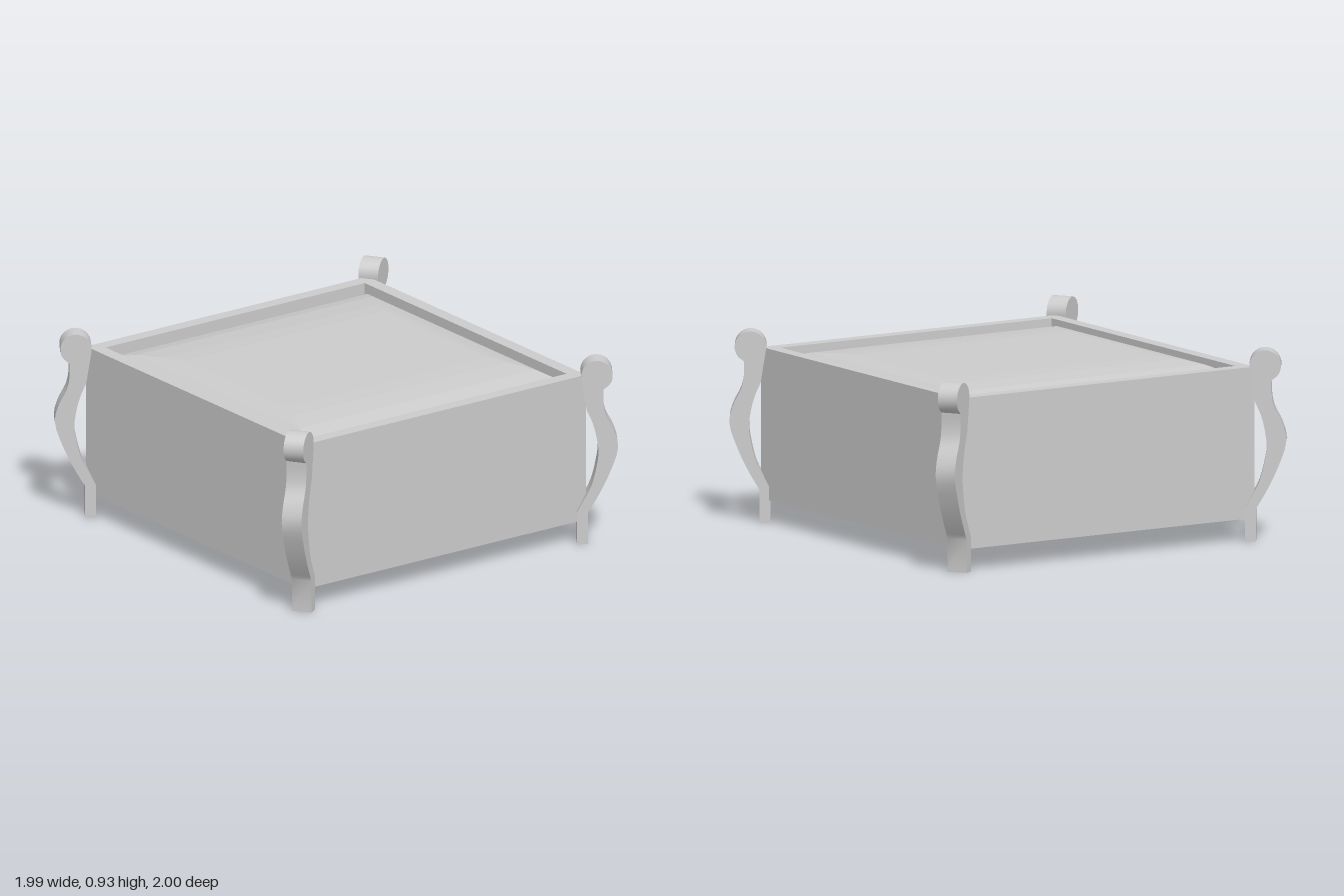
import * as THREE from 'three';
import { toCreasedNormals } from 'three/addons/utils/BufferGeometryUtils.js';

const material = new THREE.MeshStandardMaterial({ color: 0xcccccc });

function part(name, geometry) {
  const mesh = new THREE.Mesh(geometry, material);
  mesh.name = name;
  return mesh;
}

// Side profile of a leg: x runs outward from the foot, y runs up
function legGeometry() {
  const outer = [[0.027, 0.16], [0.08, 0.25], [0.13, 0.355], [0.172, 0.48], [0.155, 0.57], [0.115, 0.65], [0.102, 0.72], [0.103, 0.785]];
  const inner = [[0.022, 0.68], [0.057, 0.595], [0.078, 0.48], [0.07, 0.4], [0.046, 0.3], [0.012, 0.23], [-0.025, 0.165]];
  const curve = (list, n) => new THREE.SplineCurve(list.map(([x, y]) => new THREE.Vector2(x, y))).getPoints(n);
  const points = [new THREE.Vector2(-0.025, 0), new THREE.Vector2(0.027, 0), ...curve(outer, 18)];
  // Rounded scroll at the top
  for (let i = 0; i <= 14; i++) {
    const a = THREE.MathUtils.lerp(-0.75, Math.PI + 0.25, i / 14);
    points.push(new THREE.Vector2(0.071 + 0.076 * Math.cos(a), 0.854 + 0.076 * Math.sin(a)));
  }
  points.push(...curve(inner, 16));
  const geometry = new THREE.ExtrudeGeometry(new THREE.Shape(points), { depth: 0.1, bevelEnabled: false });
  geometry.translate(0, 0, -0.05);
  return toCreasedNormals(geometry, 0.6);
}

// Frame with a rectangular opening
function rimGeometry() {
  const rectangle = (x, z) => [[-x, -z], [x, -z], [x, z], [-x, z]].map(([a, b]) => new THREE.Vector2(a, b));
  const shape = new THREE.Shape(rectangle(0.877, 0.84));
  shape.holes.push(new THREE.Path(rectangle(0.81, 0.773)));
  return new THREE.ExtrudeGeometry(shape, { depth: 0.065, bevelEnabled: false }).rotateX(-Math.PI / 2);
}

// Domed filling made of shrinking rectangular rings: half width, height, half depth
function fillingGeometry() {
  const rings = [[0.81, 0.788, 0.773], [0.745, 0.815, 0.742], [0.655, 0.836, 0.702], [0.52, 0.848, 0.643], [0.415, 0.853, 0.6]];
  const corners = [[-1, 1], [1, 1], [1, -1], [-1, -1]];
  const positions = [];
  const point = ([x, y, z], c) => [x * corners[c % 4][0], y, z * corners[c % 4][1]];
  const quad = (a, b, c, d) => positions.push(...a, ...b, ...c, ...a, ...c, ...d);
  for (let i = 0; i < rings.length - 1; i++) {
    for (let c = 0; c < 4; c++) {
      quad(point(rings[i], c), point(rings[i], c + 1), point(rings[i + 1], c + 1), point(rings[i + 1], c));
    }
  }
  const top = rings[rings.length - 1];
  quad(point(top, 0), point(top, 1), point(top, 2), point(top, 3));
  const geometry = new THREE.BufferGeometry();
  geometry.setAttribute('position', new THREE.Float32BufferAttribute(positions, 3));
  geometry.computeVertexNormals();
  return geometry;
}

export function createModel() {
  const model = new THREE.Group();
  model.name = 'planter';

  // Square box with its raised rim and filling
  const box = new THREE.Group();
  box.name = 'box';
  box.position.set(-0.005, 0, -0.004);
  const body = part('body', new THREE.BoxGeometry(1.754, 0.67, 1.68));
  body.position.y = 0.445;
  const rim = part('rim', rimGeometry());
  rim.position.y = 0.78;
  box.add(body, rim, part('filling', fillingGeometry()));
  model.add(box);

  // Curved legs splayed outward at the four corners
  const geometry = legGeometry();
  for (const sx of [-1, 1]) {
    for (const sz of [-1, 1]) {
      const leg = part(`${sz > 0 ? 'front' : 'back'}${sx > 0 ? 'Left' : 'Right'}Leg`, geometry);
      leg.position.set(0.856 * sx, 0, 0.83 * sz);
      leg.rotation.y = -Math.atan2(0.83 * sz, 0.56 * sx);
      model.add(leg);
    }
  }
  return model;
}
